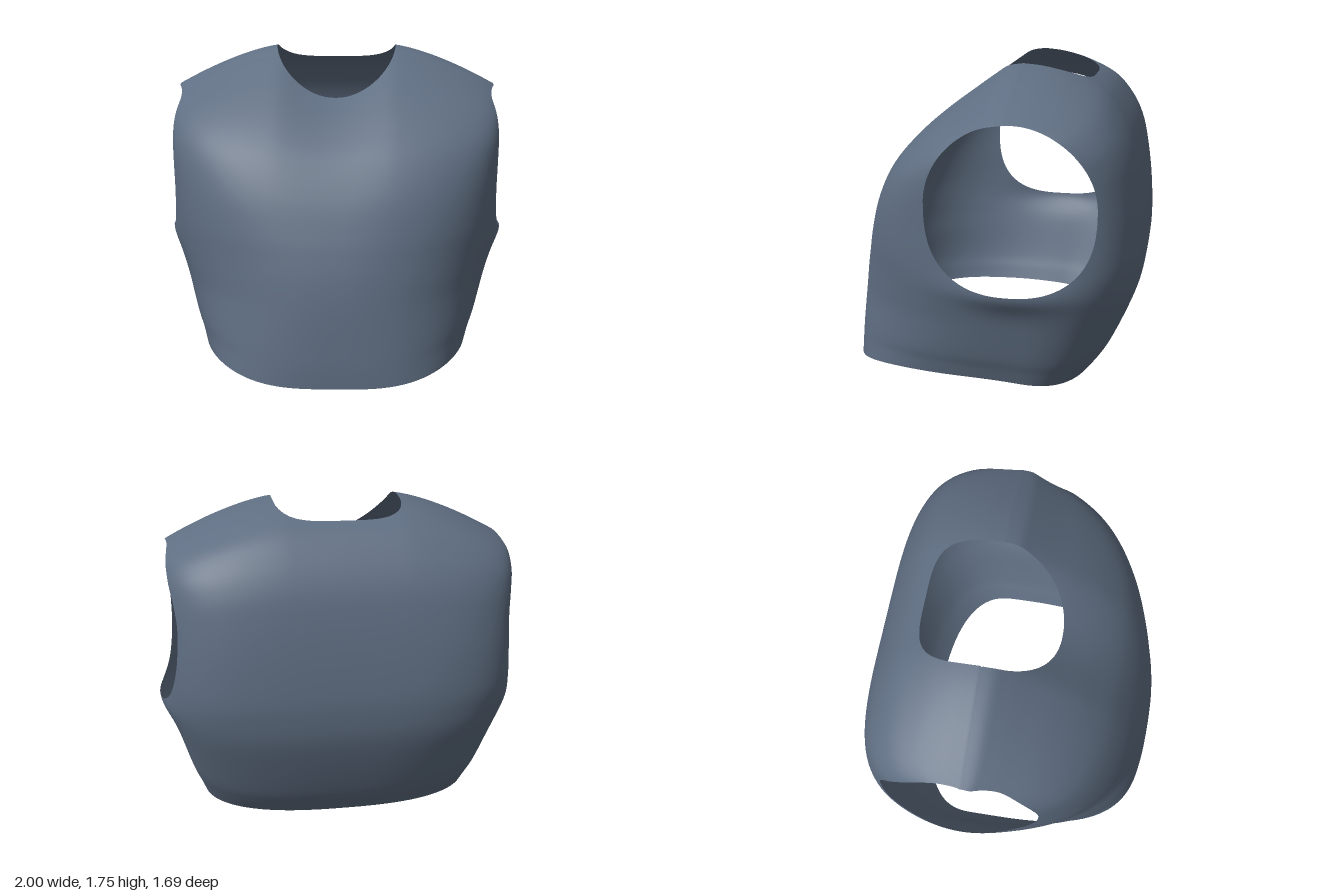
import * as THREE from 'three';
import { mergeVertices } from 'three/addons/utils/BufferGeometryUtils.js';

const TOP = 1.76;

// Body levels from hem to shoulder ridge:
// height, front z, back z, half width, front squareness, back squareness
const levels = [
  [0, 0.84, -0.58, 0.77, 3.2, 2.6], [0.1, 0.84, -0.64, 0.8, 2.9, 2.7],
  [0.2, 0.835, -0.69, 0.835, 2.7, 2.8], [0.4, 0.82, -0.77, 0.89, 2.4, 3],
  [0.55, 0.8, -0.82, 0.93, 2.35, 3.2], [0.67, 0.775, -0.84, 0.955, 2.4, 3.4],
  [0.8, 0.74, -0.845, 0.96, 2.6, 3.7], [1, 0.67, -0.83, 0.955, 3, 4],
  [1.2, 0.56, -0.8, 0.955, 3.6, 4.2], [1.36, 0.42, -0.76, 0.955, 4.4, 4.5],
  [1.5, 0.26, -0.69, 0.955, 5, 5], [1.62, 0.1, -0.59, 0.955, 5, 5],
  [1.7, -0.01, -0.44, 0.955, 5, 5], [1.745, -0.08, -0.29, 0.955, 5, 5],
  [TOP, -0.16, -0.16, 0.955, 5, 5],
];
const track = (k) => new THREE.SplineCurve(levels.map((l) => new THREE.Vector2(l[k], l[0])));
const [frontLine, backLine, widthLine, frontSquare, backSquare] = [1, 2, 3, 4, 5].map(track);

// Point on the uncut shell: u runs around the body, v from hem to shoulders
function shellPoint(u, v) {
  const f = frontLine.getPoint(v);
  const t = f.y / TOP;
  const mid = -0.2 + 0.04 * t;
  // rounded-square cross-section with its own squareness front and back
  const sx = Math.sin(u * 2 * Math.PI), sz = Math.cos(u * 2 * Math.PI);
  const n = (sz > 0 ? frontSquare : backSquare).getPoint(v).x;
  const r = 1 / Math.pow(Math.abs(sx) ** n + Math.abs(sz) ** n, 1 / n);
  const reach = sz > 0 ? f.x - mid : mid - backLine.getPoint(v).x;
  const z = mid + sz * r * reach;
  // small flare under the arm openings
  const flare = 0.045 * Math.exp(-(((f.y - 0.66) / 0.1) ** 2) - ((z + 0.2) / 0.28) ** 2);
  const x = sx * r * (widthLine.getPoint(v).x + flare);
  // sloping shoulders, dipped front neckline, and a hem that arches up at the sides
  const ax = Math.abs(x);
  let drop = 0;
  if (ax > 0.3) drop += 0.225 * ((ax - 0.3) / 0.62) ** 1.5;
  if (ax < 0.35 && sz > 0) drop += 0.1 * (1 - (ax / 0.35) ** 2) ** 2;
  const hem = z > 0.1 ? 0.1 * (1 - ((z - 0.1) / 0.74) ** 4) : 0.1 - 0.06 * ((0.1 - z) / 0.68) ** 2;
  return new THREE.Vector3(x, f.y - drop * t ** 4 + hem * (1 - t) ** 5, z);
}

// Negative inside the neck opening or the arm openings
function openings({ x, y, z }) {
  const oval = (a, b, n) => Math.abs(a) ** n + Math.abs(b) ** n - 1;
  const neck = oval(x / 0.35, (z + 0.15) / 0.367, z > -0.15 ? 2.2 : 4);
  const arm = oval((z + 0.195) / 0.44, (y - 1.1) / 0.43, y > 1.1 ? 2 : 2.6);
  return Math.min(neck, arm);
}

// Keep the part of a triangle outside the openings
function clip(tri, out) {
  const kept = [];
  tri.forEach((a, i) => {
    const b = tri[(i + 1) % 3];
    if (a.d >= 0) kept.push(a.p);
    if ((a.d >= 0) !== (b.d >= 0)) {
      // interpolate from the kept end so shared edges match exactly
      const [p, q] = a.d >= 0 ? [a, b] : [b, a];
      kept.push(p.p.clone().lerp(q.p, p.d / (p.d - q.d)));
    }
  });
  for (let i = 1; i + 1 < kept.length; i++) {
    for (const p of [kept[0], kept[i], kept[i + 1]]) out.push(p.x, p.y, p.z);
  }
}

function shellGeometry(around, rows) {
  const grid = [];
  for (let j = 0; j <= rows; j++) {
    const row = [];
    for (let i = 0; i < around; i++) {
      const p = shellPoint(i / around, j / rows);
      row.push({ p, d: openings(p) });
    }
    grid.push(row);
  }
  const out = [];
  for (let j = 0; j < rows; j++) {
    for (let i = 0; i < around; i++) {
      const k = (i + 1) % around;
      const a = grid[j][i], b = grid[j][k], c = grid[j + 1][k], d = grid[j + 1][i];
      clip([a, b, c], out);
      clip([a, c, d], out);
    }
  }
  const geometry = new THREE.BufferGeometry();
  geometry.setAttribute('position', new THREE.Float32BufferAttribute(out, 3));
  const merged = mergeVertices(geometry, 1e-5);
  merged.computeVertexNormals();
  return merged;
}

export function createModel() {
  const group = new THREE.Group();
  group.name = 'sleevelessTorsoShell';
  // Open, thin garment shell with neck, arm and waist openings
  const material = new THREE.MeshStandardMaterial({ color: 0x5f6e82, side: THREE.DoubleSide });
  const vest = new THREE.Mesh(shellGeometry(200, 90), material);
  vest.name = 'vest';
  group.add(vest);
  return group;
}
